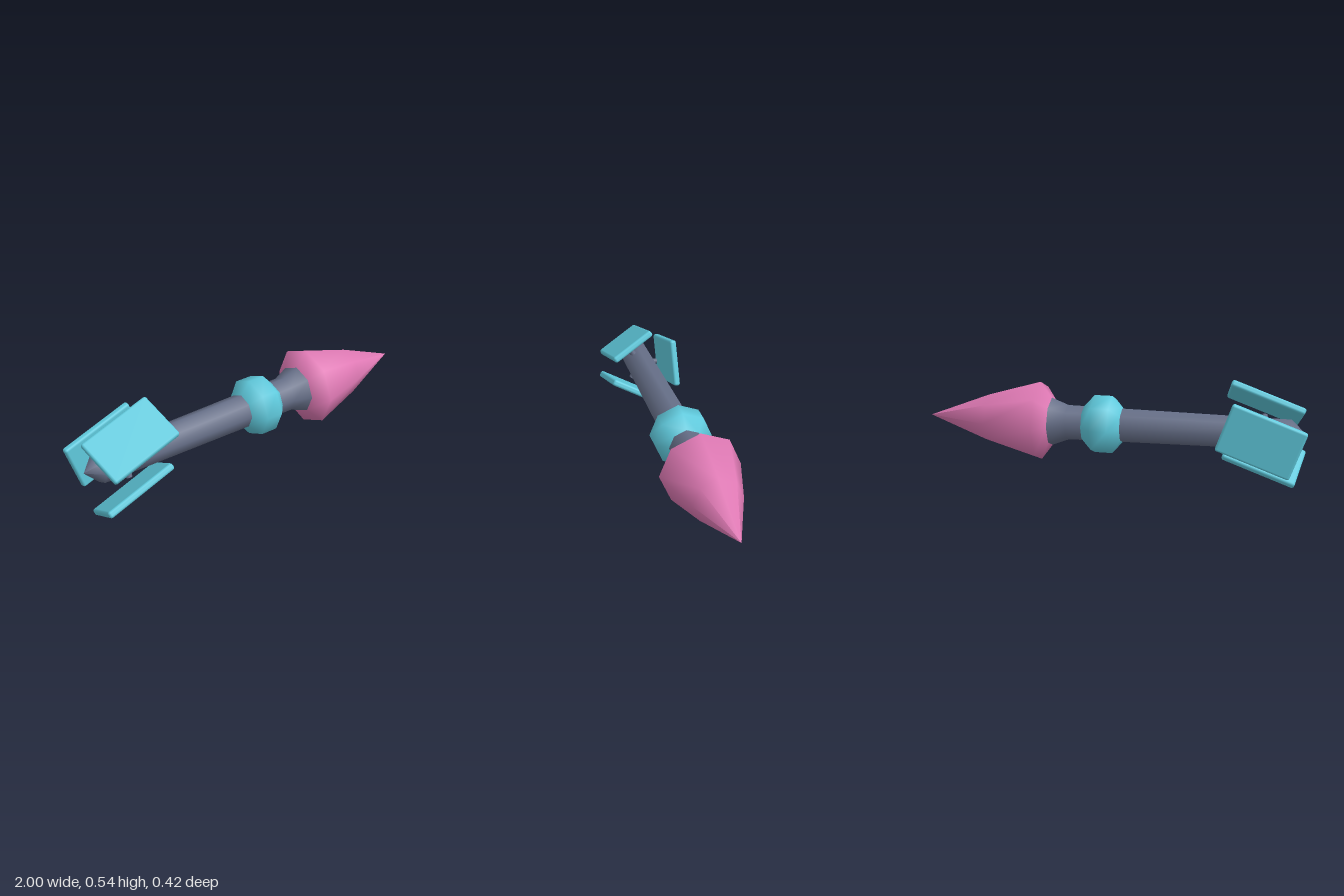
import * as THREE from 'three';
import { RoundedBoxGeometry } from 'three/addons/geometries/RoundedBoxGeometry.js';

const AXIS_Y = 0.276;

function material(name, color) {
  const m = new THREE.MeshStandardMaterial({ color });
  m.name = name;
  return m;
}

// Eight-sided turned part along the x axis; profile is [x, radius] from tail to tip
function turned(name, profile, mat) {
  const geometry = new THREE.LatheGeometry(profile.map(([x, r]) => new THREE.Vector2(r, x)), 8);
  geometry.rotateZ(-Math.PI / 2);
  const mesh = new THREE.Mesh(geometry, mat);
  mesh.name = name;
  mesh.position.y = AXIS_Y;
  return mesh;
}

export function createModel() {
  const slate = material('slate', 0x666f88);
  const teal = material('teal', 0x60cbde);
  const pink = material('pink', 0xe07ab5);
  const group = new THREE.Group();
  group.name = 'dart';

  // Shaft with pointed tail and flared socket
  group.add(turned('shaft', [
    [-0.99, 0], [-0.91, 0.08], [0, 0.09], [0.24, 0.093], [0.335, 0.13],
  ], slate));

  // Chunky collar
  group.add(turned('collar', [
    [-0.045, 0.08], [-0.045, 0.092], [0.008, 0.154], [0.1, 0.154], [0.158, 0.092], [0.158, 0.08],
  ], teal));

  // Bulging head
  group.add(turned('head', [
    [0.33, 0.128], [0.39, 0.21], [0.67, 0.128], [1, 0],
  ], pink));

  // Three slanted vanes around the tail, each above a small peg
  const vaneGeometry = new RoundedBoxGeometry(0.394, 0.036, 0.258, 2, 0.013);
  const pegGeometry = new THREE.CylinderGeometry(0.015, 0.02, 0.04, 6);
  for (const degrees of [30, 150, 270]) {
    const a = THREE.MathUtils.degToRad(degrees);
    const place = (name, geometry, mat, distance, slant) => {
      const mesh = new THREE.Mesh(geometry, mat);
      mesh.name = name;
      mesh.position.set(-0.772, AXIS_Y + Math.cos(a) * distance, Math.sin(a) * distance);
      mesh.rotation.set(a, 0, slant, 'ZYX');
      group.add(mesh);
    };
    place('vane', vaneGeometry, teal, 0.16, THREE.MathUtils.degToRad(19.8));
    place('peg', pegGeometry, slate, 0.08, 0);
  }
  return group;
}
